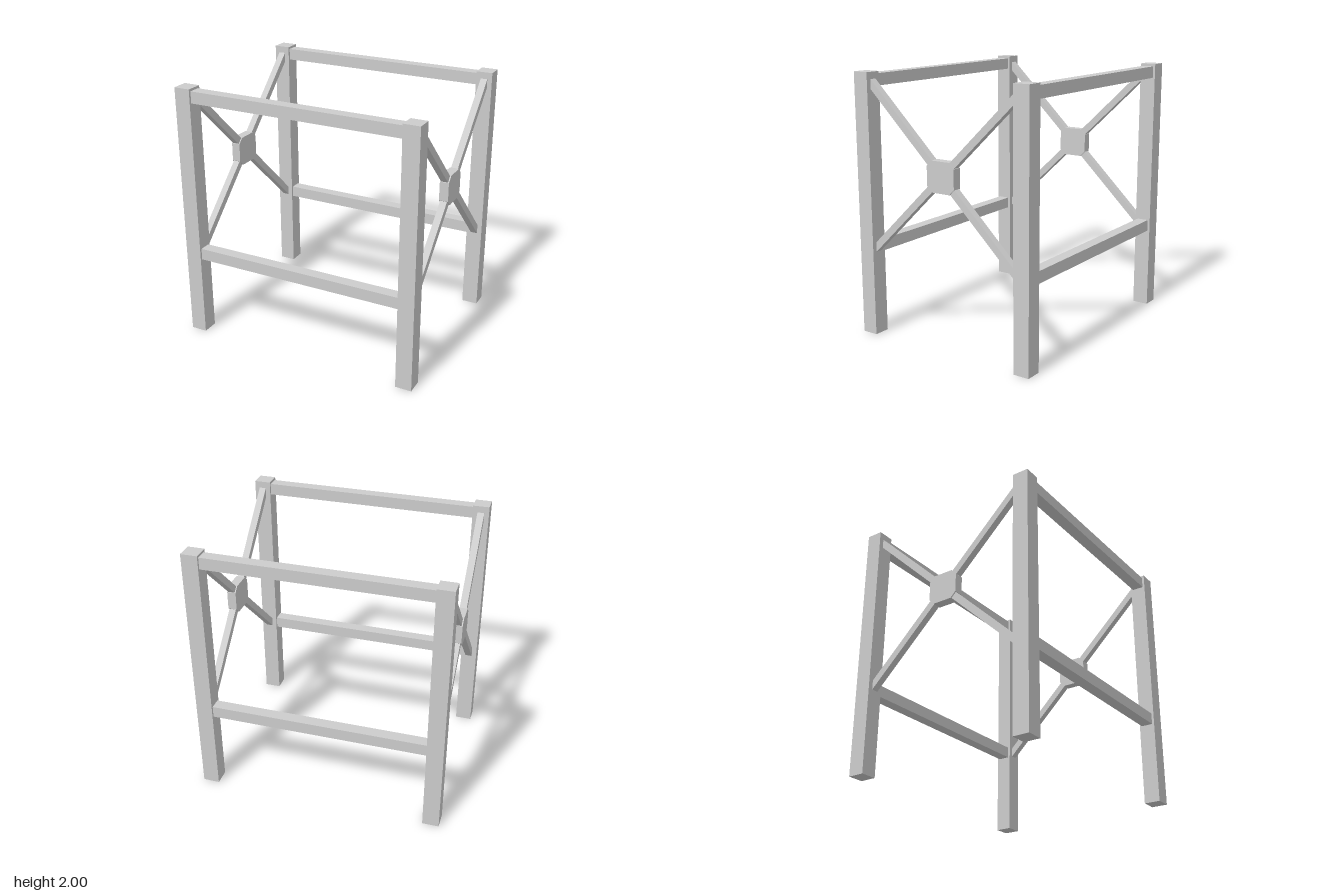
import * as THREE from 'three';

export function createModel() {
  const model = new THREE.Group();
  const material = new THREE.MeshStandardMaterial({ color: 0xcccccc, flatShading: true });

  const POST = 0.126, RAIL = 0.09, BRACE = 0.053;
  const X = 0.892, Z = 0.702; // post centres
  const HUB_Y = 1.3;

  function add(name, geometry, x, y, z) {
    const mesh = new THREE.Mesh(geometry, material);
    mesh.name = name;
    mesh.position.set(x, y, z);
    model.add(mesh);
    return mesh;
  }

  // Four square corner posts
  const post = new THREE.BoxGeometry(POST, 2, POST);
  for (const sx of [-1, 1])
    for (const sz of [-1, 1]) add('cornerPost', post, sx * X, 1, sz * Z);

  // Upper and lower rails across the front and back
  const rail = new THREE.BoxGeometry(2 * X - POST, RAIL, RAIL);
  for (const sz of [-1, 1]) {
    add('upperRail', rail, 0, 1.937, sz * Z);
    add('lowerRail', rail, 0, 0.68, sz * Z);
  }

  // Hub plate with chamfered corners
  const w = 0.12, h = 0.115, c = 0.042;
  const outline = new THREE.Shape([
    [w, c - h], [w, h - c], [w - c, h], [c - w, h],
    [-w, h - c], [-w, c - h], [c - w, -h], [w - c, -h],
  ].map(([u, v]) => new THREE.Vector2(u, v)));
  const plate = new THREE.ExtrudeGeometry(outline, { depth: 0.07, bevelEnabled: false });
  plate.translate(0, 0, -0.035).rotateY(Math.PI / 2);

  // Crossed diagonal braces on each side, ending inside the posts
  const angle = Math.atan(0.957);
  const brace = new THREE.BoxGeometry(BRACE, BRACE, 2 * 0.69 / Math.cos(angle));
  for (const sx of [-1, 1]) {
    for (const s of [-1, 1]) add('diagonalBrace', brace, sx * X, HUB_Y, 0).rotation.x = s * angle;
    add('hubPlate', plate, sx * X, HUB_Y, 0);
  }

  return model;
}
